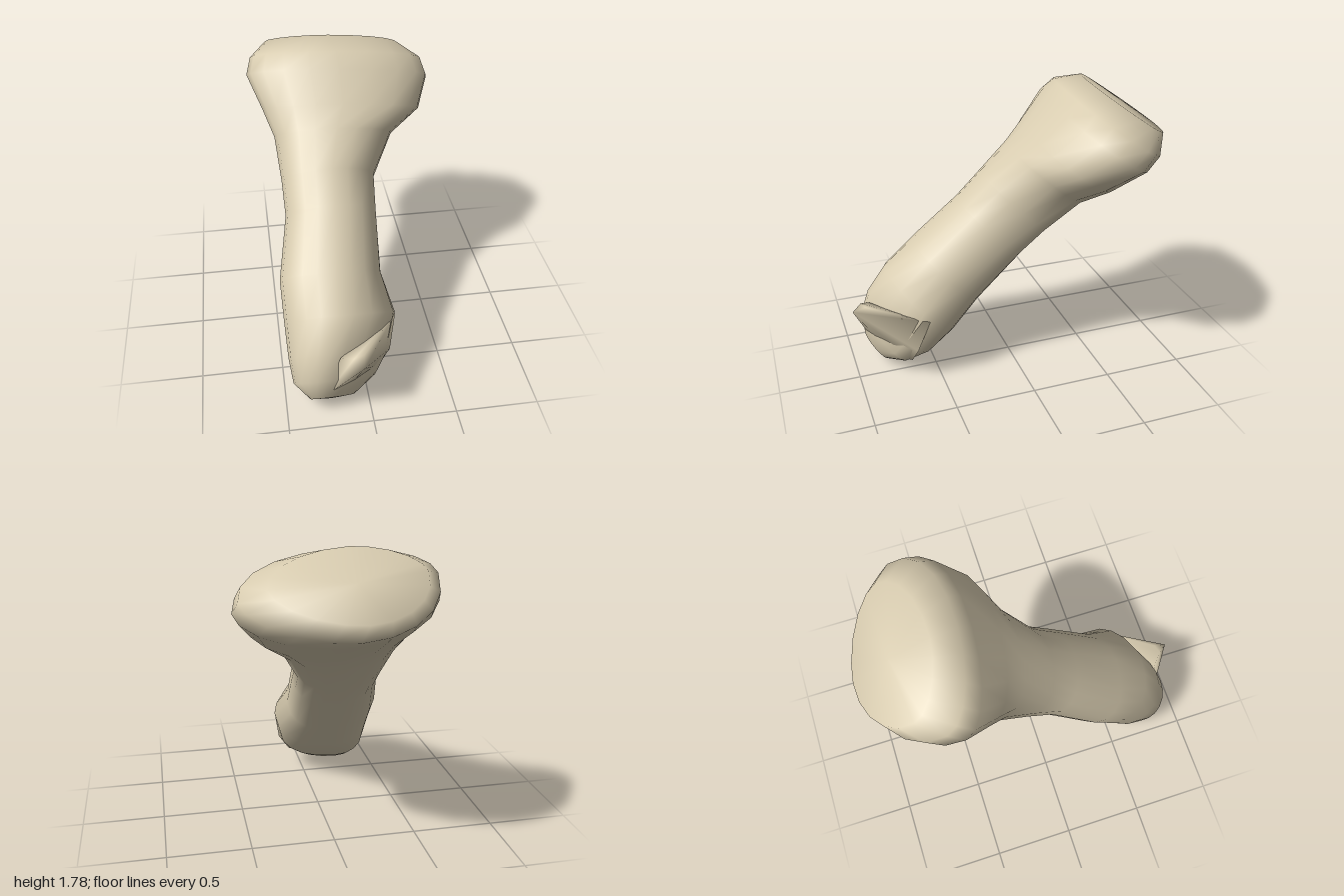
import * as THREE from 'three';
import { mergeVertices } from 'three/addons/utils/BufferGeometryUtils.js';
import { ConvexGeometry } from 'three/addons/geometries/ConvexGeometry.js';

const SIDES = 20;
const R = Math.SQRT1_2;

// The shaft leans back 45 degrees: s runs along it, t across it (up and forward)
const place = (x, s, t) => [x, (s + t) * R, (t - s) * R];
const pow = (v, p) => Math.sign(v) * Math.abs(v) ** p;

// Cross-sections: s, x at -x side, ridge and +x side, low t, t of both sides, high t,
// then roundness per quarter (below 1 is boxy, above 1 is chamfered):
// -x low, -x high, +x low, +x high
const sections = [
  [-0.55, -0.36, -0.27, -0.09, 0.54, 0.67, 0.61, 0.73, 0.9, 0.9, 1, 1.2],
  [-0.45, -0.45, -0.26, 0.05, 0.47, 0.65, 0.59, 0.85, 0.85, 1, 1, 1.3],
  [-0.30, -0.467, -0.23, 0.145, 0.42, 0.65, 0.63, 0.93, 0.88, 0.95, 0.9, 1.35],
  [-0.09, -0.475, -0.17, 0.197, 0.42, 0.7, 0.69, 0.98, 0.95, 0.95, 0.88, 1.15],
  [0.16, -0.48, -0.16, 0.14, 0.43, 0.72, 0.66, 0.955, 1.05, 0.93, 0.83, 1.02],
  [0.55, -0.41, -0.13, 0.155, 0.44, 0.71, 0.64, 0.94, 1.02, 0.93, 0.83, 0.97],
  [0.77, -0.415, -0.12, 0.17, 0.44, 0.7, 0.6, 0.94, 0.97, 0.93, 0.83, 0.97],
  [1.04, -0.435, -0.07, 0.3, 0.42, 0.7, 0.67, 0.94, 0.92, 0.9, 0.9, 0.97],
  [1.21, -0.495, -0.02, 0.49, 0.39, 0.73, 0.69, 0.945, 0.92, 0.92, 1, 0.95],
  [1.43, -0.575, -0.02, 0.58, 0.33, 0.74, 0.63, 0.955, 0.95, 0.97, 1.08, 0.92],
  [1.545, -0.545, -0.03, 0.555, 0.29, 0.73, 0.62, 0.96, 0.97, 1, 1.2, 0.93],
  [1.665, -0.44, -0.06, 0.41, 0.325, 0.66, 0.61, 0.88, 1, 1.15, 1.2, 1.02],
];

function boneGeometry() {
  const pos = [], index = [];
  for (const [s, xl, xm, xr, lo, tl, tr, hi, ll, lh, rl, rh] of sections) {
    // The sections of the head are tipped forward and to one side
    const tip = THREE.MathUtils.smoothstep(s, 0.85, 1.2);
    for (let j = 0; j < SIDES; j++) {
      const a = (j / SIDES) * Math.PI * 2;
      const c = Math.cos(a), n = Math.sin(a);
      const [side, mid, low, high] = c > 0 ? [xr - xm, tr, rl, rh] : [xm - xl, tl, ll, lh];
      const p = n > 0 ? high : low;
      const x = xm + side * pow(c, p);
      const t = mid + (n > 0 ? hi - mid : mid - lo) * pow(n, p);
      pos.push(...place(x, s - tip * (0.2 * (t - 0.66) + 0.06 * x), t));
    }
  }
  const at = (i, j) => i * SIDES + (j % SIDES);
  const last = sections.length - 1;
  for (let i = 0; i < last; i++) {
    for (let j = 0; j < SIDES; j++) {
      const a = at(i, j), b = at(i, j + 1), c = at(i + 1, j), d = at(i + 1, j + 1);
      index.push(a, c, b, b, c, d);
    }
  }
  // Closed ends
  const foot = pos.length / 3;
  pos.push(...place(-0.23, -0.56, 0.64), ...place(-0.05, 1.69, 0.6));
  for (let j = 0; j < SIDES; j++) {
    index.push(foot, at(0, j), at(0, j + 1));
    index.push(foot + 1, at(last, j + 1), at(last, j));
  }
  const g = new THREE.BufferGeometry();
  g.setAttribute('position', new THREE.Float32BufferAttribute(pos, 3));
  g.setIndex(index);
  g.computeVertexNormals();
  return g;
}

// Pointed spur on the lower front, running back to the +x side
function spurGeometry() {
  const corners = [
    [-0.06, 0.44, 1.0], [-0.11, 0.465, 0.94], [-0.05, 0.465, 0.92],
    [0.195, 0.43, 0.57], [0.155, 0.21, 0.645], [0.08, 0.1, 0.67],
    [-0.13, 0.0, 0.74], [-0.18, 0.42, 0.88], [-0.27, 0.12, 0.88],
  ].map((c) => new THREE.Vector3(...c));
  let g = new ConvexGeometry(corners);
  g.deleteAttribute('normal');
  g = mergeVertices(g);
  g.computeVertexNormals();
  return g;
}

export function createModel() {
  const bone = new THREE.MeshStandardMaterial({ color: 0xd8ccb0 });
  bone.name = 'bone';
  const group = new THREE.Group();
  group.name = 'boneModel';
  const add = (name, geometry) => {
    const mesh = new THREE.Mesh(geometry, bone);
    mesh.name = name;
    group.add(mesh);
  };
  add('shaftAndHead', boneGeometry());
  add('spur', spurGeometry());
  return group;
}
